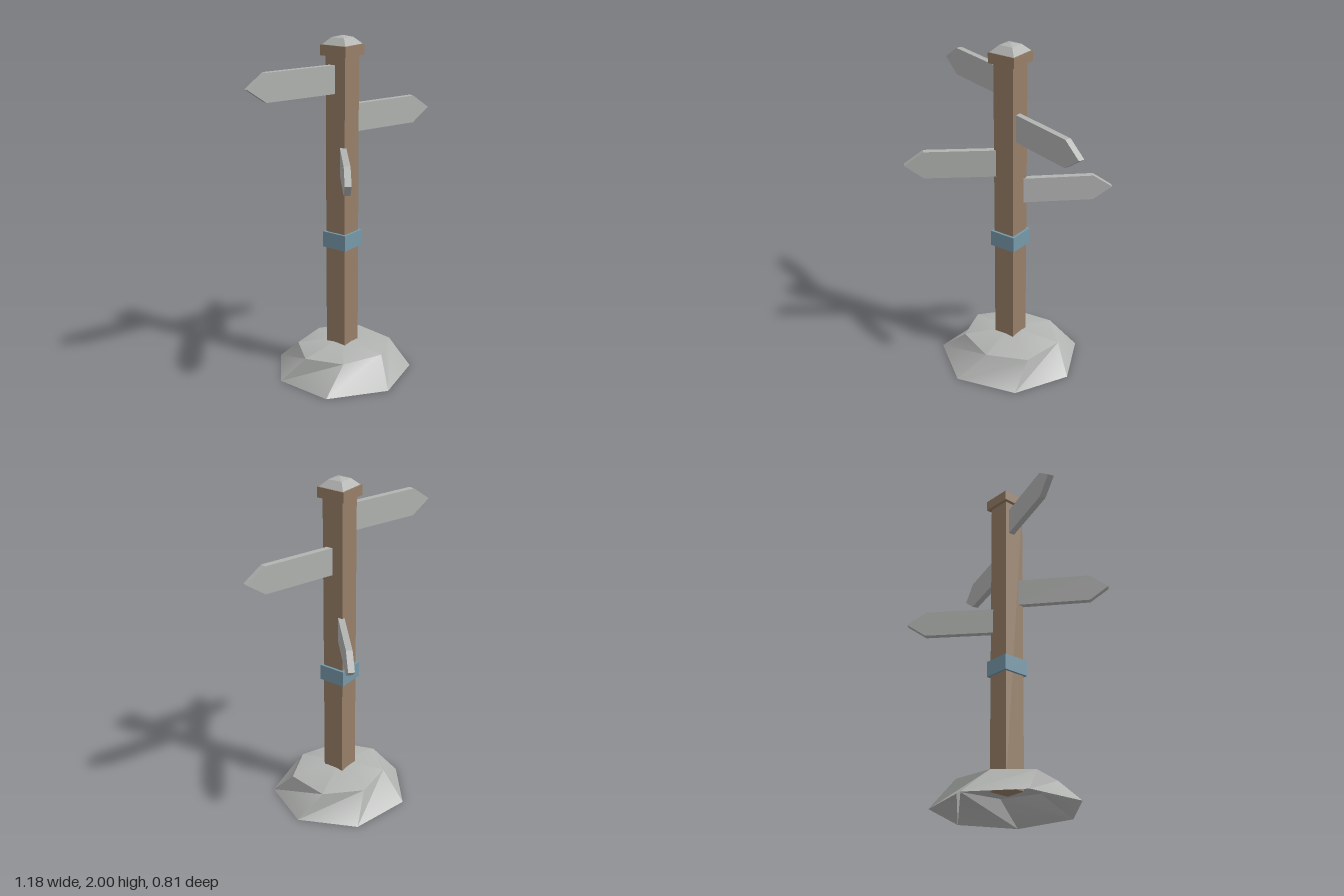
import * as THREE from 'three';
import { toCreasedNormals } from 'three/addons/utils/BufferGeometryUtils.js';

export function createModel() {
  const model = new THREE.Group();
  model.name = 'signpost';

  const material = (name, color, extra = {}) => {
    const m = new THREE.MeshStandardMaterial({ color, ...extra });
    m.name = name;
    return m;
  };
  const wood = material('brown wood', 0x977f68);
  const stone = material('grey stone', 0xb2b4b2, { side: THREE.DoubleSide });
  const blue = material('blue band', 0x7699a9);

  const add = (name, geometry, mat) => {
    const mesh = new THREE.Mesh(geometry, mat);
    mesh.name = name;
    model.add(mesh);
    return mesh;
  };

  // Square block centred on the post axis, from y0 to y1
  const block = (name, half, y0, y1, mat) => {
    const mesh = add(name, new THREE.BoxGeometry(half * 2, y1 - y0, half * 2), mat);
    mesh.position.y = (y0 + y1) / 2;
  };
  block('post', 0.066, 0.1, 1.9, wood);
  block('postBand', 0.081, 0.777, 0.87, blue);
  block('capCollar', 0.087, 1.89, 1.95, wood);

  // Four-sided domed cap
  const capProfile = [[0.08, 1.95], [0.043, 1.988], [0, 2]]
    .map(([half, y]) => new THREE.Vector2(half * Math.SQRT2, y));
  const cap = new THREE.LatheGeometry(capProfile, 4, Math.PI / 4).toNonIndexed();
  cap.computeVertexNormals();
  add('capDome', cap, stone);

  // Arrow boards: bottom y, top y, tip x, tip z, shoulder distance
  const boards = [
    ['topSign', 1.68, 1.84, -0.588, -0.19, 0.505],
    ['upperSign', 1.45, 1.61, 0.585, 0.185, 0.5],
    ['lowerSign', 1.22, 1.38, -0.461, 0.382, 0.49],
    ['bottomSign', 1.05, 1.2, 0.435, -0.394, 0.477],
  ];
  const thickness = 0.036;
  for (const [name, y0, y1, tipX, tipZ, shoulder] of boards) {
    const tip = Math.hypot(tipX, tipZ);
    const outline = new THREE.Shape([
      [0.02, y0], [shoulder, y0], [tip, (y0 + y1) / 2], [shoulder, y1], [0.02, y1],
    ].map(([x, y]) => new THREE.Vector2(x, y)));
    const geometry = new THREE.ExtrudeGeometry(outline, { depth: thickness, bevelEnabled: false });
    geometry.translate(0, 0, -thickness / 2);
    add(name, geometry, stone).rotation.y = -Math.atan2(tipZ, tipX);
  }

  // Hollow rock mound: ground ring, twisted shoulder ring, apex
  const ground = [[0.42, 0], [0.262, 0.315], [-0.098, 0.403], [-0.393, 0.18],
    [-0.37, -0.173], [-0.097, -0.403], [0.268, -0.325]];
  const shoulderRing = [[0.292, -0.088], [0.25, 0.17], [0.02, 0.272], [-0.22, 0.172],
    [-0.292, -0.05], [-0.135, -0.232], [0.115, -0.262]];
  const n = ground.length;
  const points = [
    ...ground.map(([x, z]) => [x, 0, z]),
    ...shoulderRing.map(([x, z]) => [x, 0.147, z]),
    [0, 0.198, 0],
  ];
  const faces = [];
  for (let i = 0; i < n; i++) {
    const j = (i + 1) % n;
    faces.push(i, n + i, j, n + i, n + j, j, 2 * n, n + j, n + i);
  }
  const mound = new THREE.BufferGeometry();
  mound.setAttribute('position', new THREE.Float32BufferAttribute(points.flat(), 3));
  mound.setIndex(faces);
  add('rockMound', toCreasedNormals(mound, 0.6), stone);

  return model;
}
